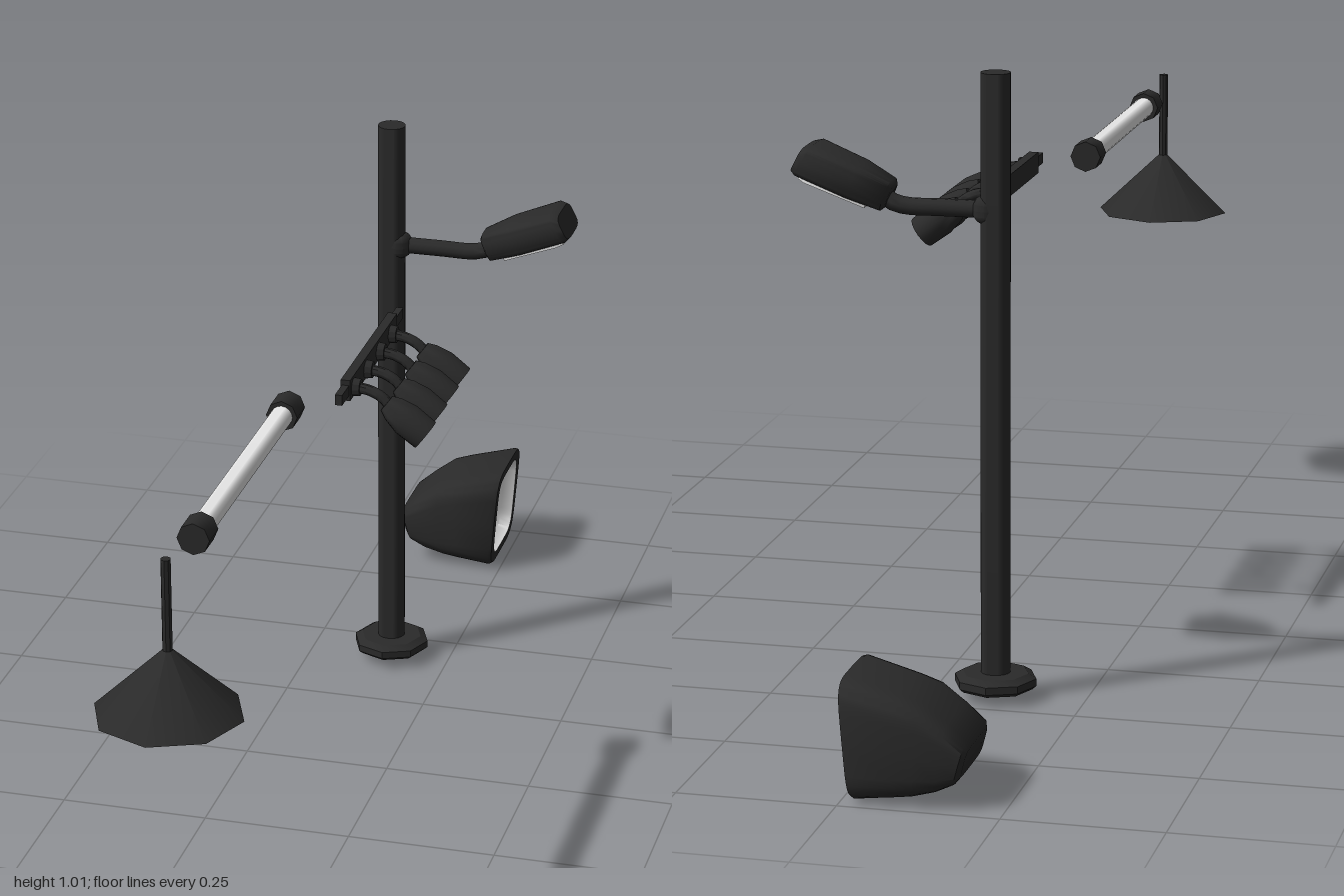
import * as THREE from 'three';
import { toCreasedNormals } from 'three/addons/utils/BufferGeometryUtils.js';

const dark = new THREE.MeshStandardMaterial({ color: 0x2a2a2a });
dark.name = 'charcoal metal';
const white = new THREE.MeshStandardMaterial({ color: 0xf4f4f4 });
white.name = 'white diffuser';

const V = (x, y, z = 0) => new THREE.Vector3(x, y, z);

function add(parent, name, geo, mat, pos = [0, 0, 0], crease = 0.8) {
  const mesh = new THREE.Mesh(toCreasedNormals(geo, crease), mat);
  mesh.name = name;
  mesh.position.set(...pos);
  parent.add(mesh);
  return mesh;
}

function group(parent, name, x, y, z) {
  const g = new THREE.Group();
  g.name = name;
  g.position.set(x, y, z);
  parent.add(g);
  return g;
}

const lathe = (pts, n) => new THREE.LatheGeometry(pts.map(p => new THREE.Vector2(...p)), n);
const tube = (pts, r) => new THREE.TubeGeometry(new THREE.CatmullRomCurve3(pts), 12, r, 10);

// Skin over rounded-square rings; ring = [topX, topY, bottomX, bottomY, halfWidth]
function loft(rings, { start = true, end = true, round = 0.4, n = 32 } = {}) {
  const pos = [], idx = [];
  const soft = v => Math.sign(v) * Math.pow(Math.abs(v), round);
  for (const [tx, ty, bx, by, w] of rings) {
    for (let j = 0; j < n; j++) {
      const a = (j / n) * Math.PI * 2;
      const s = soft(Math.sin(a)) / 2;
      pos.push((tx + bx) / 2 + (tx - bx) * s, (ty + by) / 2 + (ty - by) * s, w * soft(Math.cos(a)));
    }
  }
  const cap = (i, flip) => {
    const [tx, ty, bx, by] = rings[i];
    const c = pos.length / 3;
    pos.push((tx + bx) / 2, (ty + by) / 2, 0);
    for (let j = 0; j < n; j++) {
      const p = i * n + j, q = i * n + (j + 1) % n;
      idx.push(c, flip ? q : p, flip ? p : q);
    }
  };
  for (let i = 0; i < rings.length - 1; i++) {
    for (let j = 0; j < n; j++) {
      const a = i * n + j, b = i * n + (j + 1) % n;
      idx.push(a, a + n, b, b, a + n, b + n);
    }
  }
  if (start) cap(0, false);
  if (end) cap(rings.length - 1, true);
  const g = new THREE.BufferGeometry();
  g.setAttribute('position', new THREE.Float32BufferAttribute(pos, 3));
  g.setIndex(idx);
  return g;
}

// Hanging conical shade on a rod
function pendantLamp(root) {
  const g = group(root, 'pendantLamp', -0.105, 0, 0.88);
  add(g, 'pendantRod', new THREE.CylinderGeometry(0.008, 0.008, 0.16, 8), dark, [0, 0.71, 0]);
  add(g, 'pendantShade', lathe([[0.103, 0.535], [0.118, 0.535], [0.008, 0.64], [0, 0.64]], 8), dark);
  add(g, 'pendantDiffuser', lathe([[0, 0.6], [0.103, 0.535]], 8), white);
}

// Horizontal tube light with end caps
function tubeLight(root) {
  const g = group(root, 'tubeLight', -0.105, 0.76, 0.48);
  add(g, 'lightTube', new THREE.CylinderGeometry(0.018, 0.018, 0.48, 16).rotateX(Math.PI / 2), white);
  for (const s of [-1, 1]) {
    add(g, 'tubeEndCap', new THREE.CylinderGeometry(0.026, 0.026, 0.046, 8).rotateX(Math.PI / 2), dark, [0, 0, s * 0.241]);
  }
}

// Rail carrying four tilted spotlights
function spotTrack(root) {
  const g = group(root, 'spotTrack', -0.033, 0.762, 0);
  add(g, 'rail', new THREE.BoxGeometry(0.012, 0.018, 0.39), dark, [0, 0, -0.015]);
  add(g, 'railHousing', new THREE.BoxGeometry(0.016, 0.036, 0.3), dark, [0, 0, -0.012]);
  for (const z of [0.115, 0.038, -0.04, -0.118]) {
    const s = group(g, 'spotlight', 0, 0, z);
    add(s, 'spotMount', new THREE.CylinderGeometry(0.014, 0.016, 0.016, 10).rotateZ(-Math.PI / 2), dark, [0.012, -0.002, 0]);
    add(s, 'spotStem', tube([V(0.01, -0.002), V(0.036, -0.006), V(0.056, -0.016), V(0.072, -0.033)], 0.009), dark);
    const head = group(s, 'spotHead', 0.063, -0.025, 0);
    head.rotation.z = -2.214;
    add(head, 'spotShell', lathe([[0, 0], [0.015, 0], [0.022, 0.015], [0.028, 0.042], [0.027, 0.082], [0.022, 0.082]], 16), dark);
    add(head, 'spotDiffuser', lathe([[0.022, 0.082], [0.018, 0.066], [0, 0.062]], 16), white);
  }
}

// Tall pole with a side arm and a tilted lamp head
function streetLamp(root) {
  const g = group(root, 'streetLamp', -0.105, 0, -0.43);
  add(g, 'pole', new THREE.CylinderGeometry(0.024, 0.024, 0.985, 16), dark, [0, 0.5225, 0]);
  add(g, 'poleBase', lathe([[0, 0.018], [0.06, 0.018], [0.067, 0.024], [0.067, 0.036], [0.054, 0.044], [0, 0.044]], 8), dark, [0, 0, 0], 0.5);
  add(g, 'armCollar', new THREE.SphereGeometry(0.025, 12, 8), dark, [0.013, 0.797, 0]);
  add(g, 'arm', tube([V(0.015, 0.797), V(0.09, 0.797), V(0.145, 0.797), V(0.168, 0.803), V(0.19, 0.819)], 0.014), dark);
  const head = group(g, 'lampHead', 0.169, 0.812, 0);
  head.rotation.z = 0.39;
  add(head, 'lampShell', loft([
    [0, 0.019, 0, -0.019, 0.022], [0.006, 0.025, 0.004, -0.026, 0.03],
    [0.06, 0.03, 0.06, -0.028, 0.046], [0.14, 0.029, 0.148, -0.028, 0.053],
    [0.152, 0.021, 0.156, -0.024, 0.047],
  ], { round: 0.5 }), dark);
  // Tapered diffuser plate on the underside
  const shape = new THREE.Shape([[0.028, -0.024], [0.13, -0.038], [0.142, -0.03], [0.142, 0.03], [0.13, 0.038], [0.028, 0.024]]
    .map(p => new THREE.Vector2(...p)));
  add(head, 'lampDiffuser', new THREE.ExtrudeGeometry(shape, { depth: 0.006, bevelEnabled: false }).rotateX(Math.PI / 2), white, [0, -0.0245, 0]);
}

// Wedge-shaped floodlight with a recessed panel facing +x
function floodlight(root) {
  const g = group(root, 'floodlight', 0, 0, -0.905);
  add(g, 'floodShell', loft([
    [-0.193, 0.092, -0.182, 0.048, 0.068], [-0.19, 0.102, -0.172, 0.036, 0.08],
    [-0.16, 0.128, -0.145, 0.023, 0.087], [-0.122, 0.157, -0.11, 0.013, 0.091],
    [-0.09, 0.168, -0.08, 0.009, 0.093], [-0.006, 0.192, -0.022, 0.002, 0.095],
    [0, 0.191, -0.016, 0.005, 0.092], [-0.002, 0.174, -0.014, 0.022, 0.073],
  ], { end: false }), dark);
  add(g, 'floodDiffuser', loft([
    [-0.002, 0.174, -0.014, 0.022, 0.073], [-0.024, 0.167, -0.034, 0.028, 0.067],
    [-0.036, 0.148, -0.044, 0.044, 0.05],
  ], { start: false }), white);
}

export function createModel() {
  const root = new THREE.Group();
  root.name = 'lightFixtures';
  pendantLamp(root);
  tubeLight(root);
  spotTrack(root);
  streetLamp(root);
  floodlight(root);
  return root;
}
